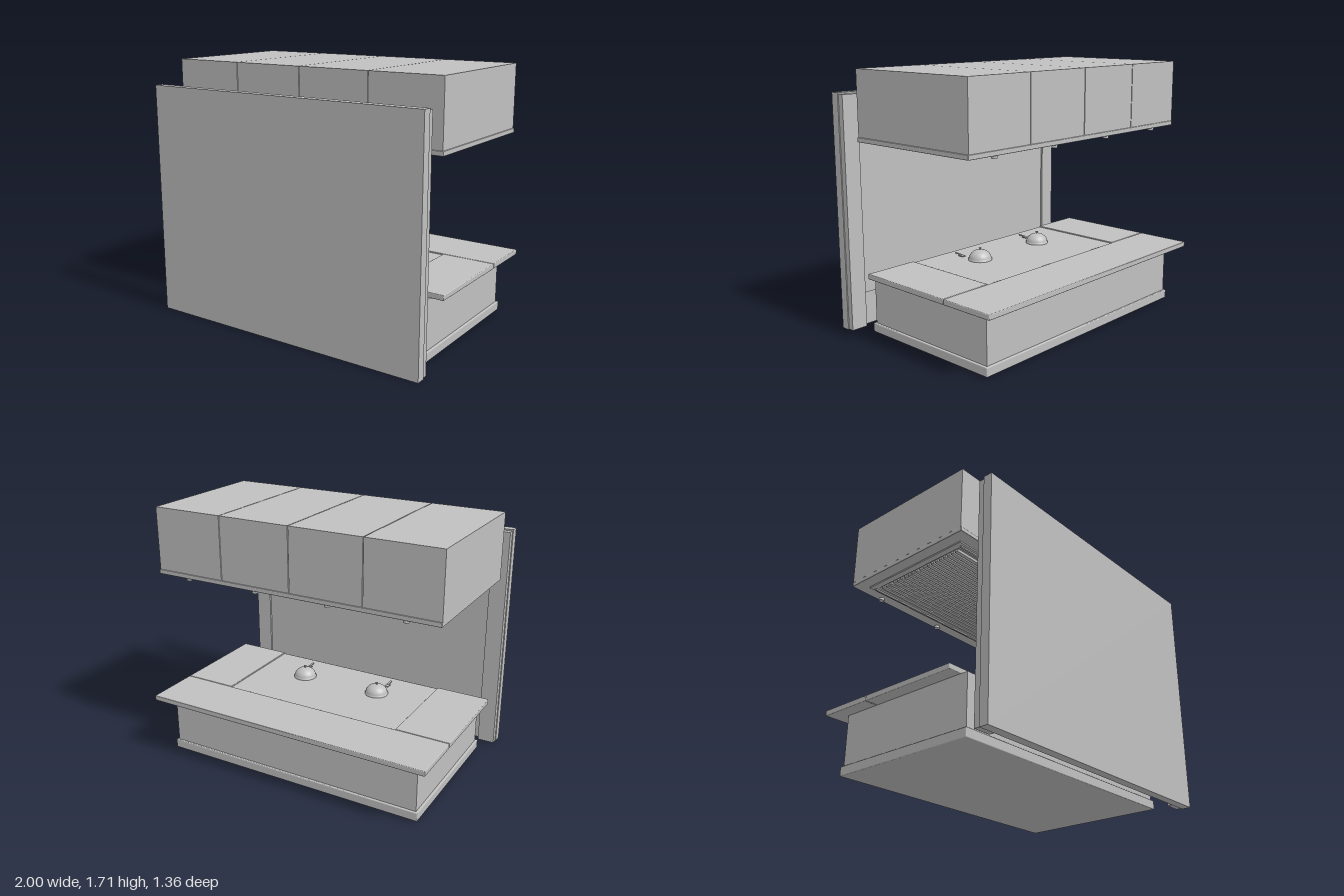
import * as THREE from 'three';
import { RoundedBoxGeometry } from 'three/addons/geometries/RoundedBoxGeometry.js';

export function createModel() {
  const model = new THREE.Group();
  const grey = new THREE.MeshStandardMaterial({ color: 0xc0c0c0 });
  grey.name = 'plain grey';

  const add = (name, geometry, x = 0, y = 0, z = 0) => {
    const mesh = new THREE.Mesh(geometry, grey);
    mesh.name = name;
    mesh.position.set(x, y, z);
    model.add(mesh);
    return mesh;
  };
  // Box given by its limits on each axis; r rounds the edges
  const box = (name, x0, x1, y0, y1, z0, z1, r = 0) => {
    const size = [x1 - x0, y1 - y0, z1 - z0];
    const geometry = r ? new RoundedBoxGeometry(...size, 2, r) : new THREE.BoxGeometry(...size);
    return add(name, geometry, (x0 + x1) / 2, (y0 + y1) / 2, (z0 + z1) / 2);
  };

  // Front wall with side posts and a raised inner panel
  box('wall', -1, 1, 0, 1.55, 0.62, 0.68);
  box('wallPanel', -0.88, 0.88, 0.23, 1.535, 0.595, 0.62);
  for (const s of [-1, 1]) {
    box('wallPost', s * 0.937 - 0.057, s * 0.937 + 0.057, 0.003, 1.54, 0.58, 0.62);
  }

  // Counter base
  box('plinth', -0.92, 0.92, 0.01, 0.07, -0.58, 0.455, 0.006);
  box('counterBody', -0.905, 0.905, 0.07, 0.397, -0.565, 0.44);

  // Worktop: rear slab, two wings and a slightly sunken centre
  box('rearWorktop', -0.995, 0.995, 0.397, 0.432, -0.675, -0.305, 0.005);
  for (const s of [-1, 1]) {
    box('worktopWing', s * 0.812 - 0.183, s * 0.812 + 0.183, 0.397, 0.432, -0.302, 0.39, 0.005);
  }
  box('cookingPlate', -0.628, 0.628, 0.397, 0.424, -0.302, 0.386);

  // Domed covers with knobs, each with a small utensil beside it
  const domeProfile = [[0.079, 0], [0.079, 0.008]];
  for (let i = 0; i <= 10; i++) {
    const a = (i / 10) * Math.PI / 2;
    domeProfile.push([0.075 * Math.cos(a), 0.008 + 0.06 * Math.sin(a)]);
  }
  domeProfile[domeProfile.length - 1][0] = 0;
  const dome = new THREE.LatheGeometry(domeProfile.map(p => new THREE.Vector2(...p)), 32);
  const stem = new THREE.CylinderGeometry(0.005, 0.005, 0.014, 12);
  const knob = new THREE.CylinderGeometry(0.01, 0.008, 0.006, 16);
  for (const [x, utensilX] of [[0.28, 0.325], [-0.29, -0.31]]) {
    add('domeCover', dome, x, 0.424, 0.115);
    add('domeStem', stem, x, 0.497, 0.115);
    add('domeKnob', knob, x, 0.502, 0.115);
    const handle = box('utensilHandle', utensilX - 0.006, utensilX + 0.006, 0.437, 0.443, 0.25, 0.305);
    handle.rotation.x = -0.08;
    box('utensilBlade', utensilX - 0.014, utensilX + 0.014, 0.43, 0.436, 0.225, 0.265);
  }

  // Hood: four cabinets over a shallow tray
  for (let i = 0; i < 4; i++) {
    const x = -0.995 + i * 0.497;
    box('hoodCabinet', x, x + 0.492, 1.288, 1.705, -0.525, 0.44);
  }
  box('hoodTray', -0.995, 0.995, 1.26, 1.29, -0.53, 0.445, 0.004);

  // Filter frame under the tray
  const frame = new THREE.Shape([[-0.92, -0.405], [0.92, -0.405], [0.92, 0.405], [-0.92, 0.405]]
    .map(p => new THREE.Vector2(...p)));
  frame.holes.push(new THREE.Path([[-0.88, -0.355], [-0.88, 0.355], [0.88, 0.355], [0.88, -0.355]]
    .map(p => new THREE.Vector2(...p))));
  const frameGeometry = new THREE.ExtrudeGeometry(frame, { depth: 0.009, bevelEnabled: false });
  frameGeometry.rotateX(Math.PI / 2);
  add('filterFrame', frameGeometry, 0, 1.26, -0.04);
  for (const z of [0.342, -0.422]) box('filterRail', -0.89, 0.89, 1.242, 1.252, z - 0.006, z + 0.006);

  // Filter slats
  for (let i = 0; i < 20; i++) {
    const z = 0.285 - i * 0.0343;
    box('filterSlat', -0.87, 0.87, 1.242, 1.26, z - 0.012, z + 0.012);
  }

  // Spotlights along the rear edge
  const lamp = new THREE.CylinderGeometry(0.018, 0.018, 0.018, 20);
  for (const x of [-0.77, -0.257, 0.257, 0.77]) add('spotlight', lamp, x, 1.251, -0.503);

  return model;
}
